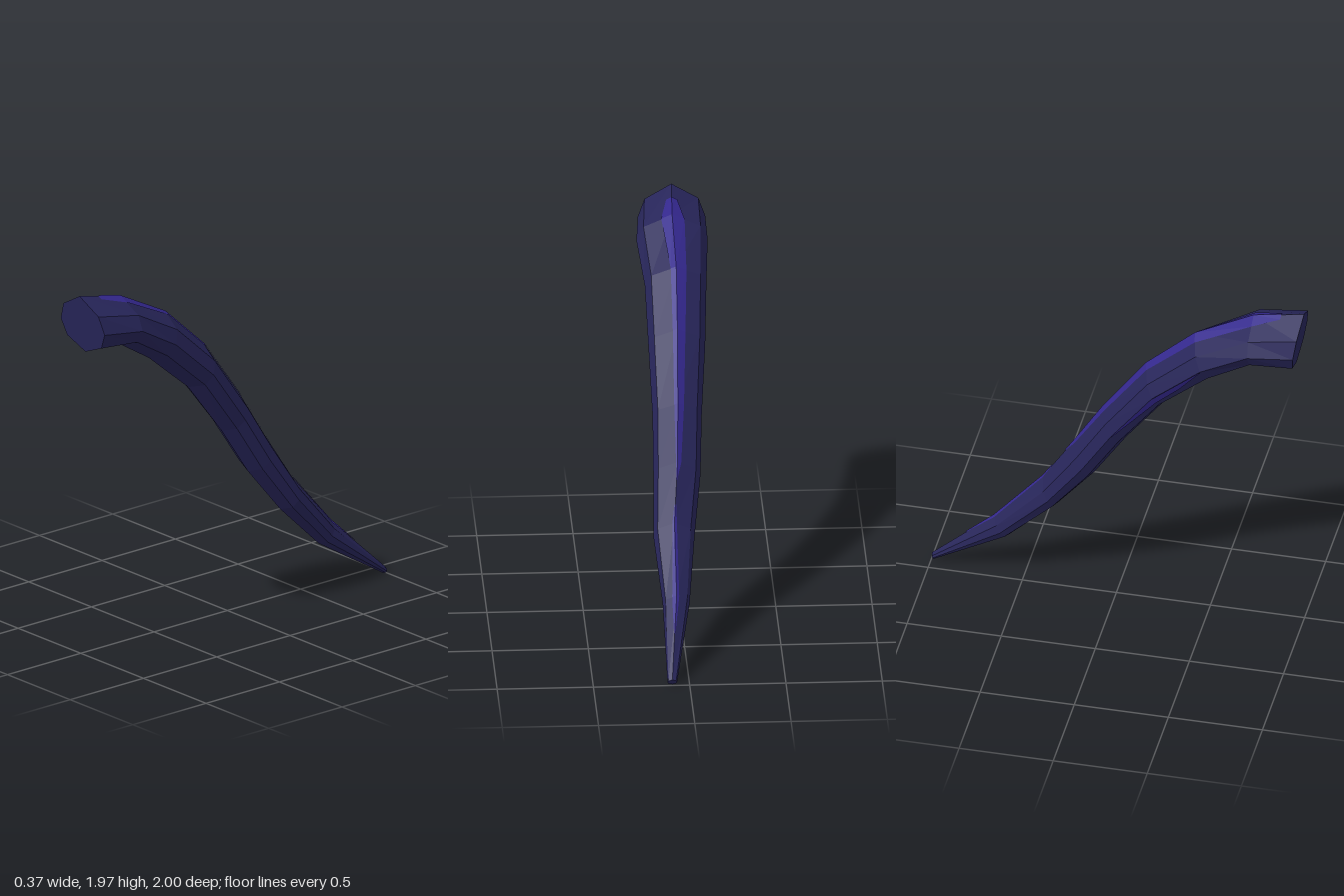
import * as THREE from 'three';

// One entry per ring: upper z, upper y, lower z, lower y, right-hand x limit, left-hand x limit
const RINGS = [
  [1.0, 1.97, 0.96, 1.655, -0.185, 0.165],
  [0.73, 1.91, 0.74, 1.65, -0.185, 0.185],
  [0.42, 1.75, 0.53, 1.52, -0.165, 0.155],
  [0.16, 1.51, 0.27, 1.30, -0.145, 0.15],
  [-0.07, 1.19, 0.05, 1.01, -0.115, 0.14],
  [-0.23, 0.93, -0.12, 0.75, -0.10, 0.145],
  [-0.40, 0.66, -0.32, 0.50, -0.06, 0.155],
  [-0.66, 0.36, -0.58, 0.25, -0.02, 0.12],
  [-1.0, 0.035, -0.985, 0.003, 0.065, 0.115],
];
const SIDES = 8;
// Eight-sided section: sideways fraction (-1..1) and height fraction (0..1)
const SECTION = [[0, 1], [-0.8, 0.75], [-1, 0.45], [-0.78, 0.18], [0, 0], [0.78, 0.18], [1, 0.45], [0.8, 0.75]];

function corner(i, k) {
  const [uz, uy, lz, ly, x0, x1] = RINGS[i];
  const [u, v] = SECTION[(k + SIDES) % SIDES];
  return new THREE.Vector3((x0 + x1) / 2 + u * (x1 - x0) / 2, ly + v * (uy - ly), lz + v * (uz - lz));
}

// Point on a lengthwise edge at a fractional ring position
function along(s, k) {
  const i = Math.min(Math.floor(s), RINGS.length - 2);
  return corner(i, k).lerp(corner(i + 1, k), s - i);
}

function centre(s) {
  return along(s, 0).add(along(s, 4)).multiplyScalar(0.5);
}

function meshFrom(name, triangles, material) {
  const geometry = new THREE.BufferGeometry().setFromPoints(triangles);
  geometry.computeVertexNormals();
  const mesh = new THREE.Mesh(geometry, material);
  mesh.name = name;
  return mesh;
}

// Faceted curved body with both ends closed
function bodyTriangles() {
  const out = [];
  const last = RINGS.length - 1;
  for (let k = 0; k < SIDES; k++) {
    for (let i = 0; i < last; i++) {
      const a = corner(i, k), b = corner(i, k + 1), c = corner(i + 1, k), d = corner(i + 1, k + 1);
      out.push(a, c, b, b, c, d);
    }
    out.push(centre(0), corner(0, k), corner(0, k + 1));
    out.push(centre(last), corner(last, k + 1), corner(last, k));
  }
  return out;
}

// Thin streak folded over edge k; stations are [ring position, spread to k+1, spread to k-1]
function streakTriangles(k, stations) {
  const rows = stations.map(([s, f, g]) => {
    const ridge = along(s, k);
    const lift = ridge.clone().sub(centre(s)).normalize().multiplyScalar(0.005);
    return [ridge.clone().lerp(along(s, k - 1), g), ridge, ridge.clone().lerp(along(s, k + 1), f)]
      .map((p) => p.add(lift));
  });
  const out = [];
  for (let r = 0; r < rows.length - 1; r++) {
    for (let j = 0; j < 2; j++) {
      const a = rows[r][j], b = rows[r][j + 1], c = rows[r + 1][j], d = rows[r + 1][j + 1];
      out.push(a, c, b, b, c, d);
    }
  }
  return out;
}

export function createModel() {
  const indigo = new THREE.MeshStandardMaterial({ color: 0x272559, flatShading: true });
  indigo.name = 'dark indigo';
  const violet = new THREE.MeshStandardMaterial({ color: 0x33278c, flatShading: true });
  violet.name = 'violet';

  const group = new THREE.Group();
  group.name = 'curvedHorn';
  group.add(meshFrom('hornBody', bodyTriangles(), indigo));

  // Long streak on the upper ridge
  group.add(meshFrom('ridgeStreak', streakTriangles(0, [
    [0.45, 0.2, 0.2], [1, 0.44, 0.38], [2, 0.42, 0.22], [3, 0.36, 0.2],
    [4, 0.32, 0.18], [5, 0.2, 0.08], [5.3, 0.03, 0.03],
  ]), violet));
  // Short streak towards the tip
  group.add(meshFrom('tipStreak', streakTriangles(0, [
    [5.7, 0.06, 0.06], [6, 0.15, 0.12], [7, 0.25, 0.4], [7.45, 0.1, 0.1],
  ]), violet));
  // Faint streak under the right-hand edge
  group.add(meshFrom('sideStreak', streakTriangles(2, [
    [2, 0.05, 0], [2.5, 0.5, 0], [3, 0.6, 0], [4, 0.05, 0],
  ]), violet));
  return group;
}
